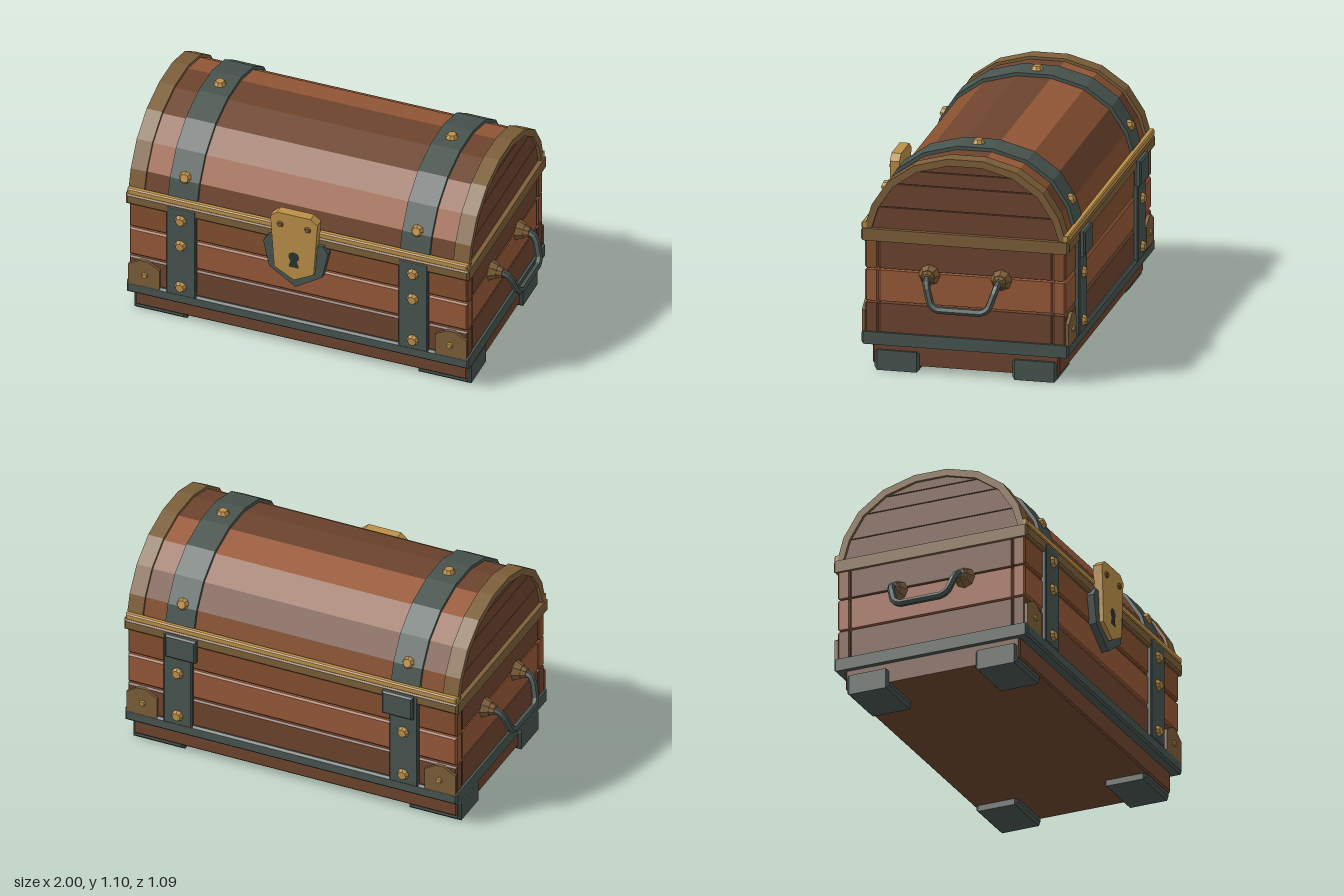
import * as THREE from 'three';

const paint = (name, color) => {
  const m = new THREE.MeshStandardMaterial({ color });
  m.name = name;
  return m;
};

export function createModel() {
  const lightWood = paint('lightWood', 0x985a39);
  const midWood = paint('midWood', 0x85502f);
  const darkWood = paint('darkWood', 0x6d442e);
  const iron = paint('iron', 0x48544f);
  const bronze = paint('bronze', 0x7d5f39);
  const gold = paint('gold', 0xbc9048);
  const black = paint('keyholeDark', 0x2b3330);

  const chest = new THREE.Group();
  chest.name = 'treasureChest';
  chest.position.z = -0.011;

  const add = (name, geometry, material, x = 0, y = 0, z = 0) => {
    const mesh = new THREE.Mesh(geometry, material);
    mesh.name = name;
    mesh.position.set(x, y, z);
    chest.add(mesh);
    return mesh;
  };
  const faceted = (g) => {
    const flat = g.index ? g.toNonIndexed() : g;
    flat.computeVertexNormals();
    return flat;
  };
  const polygon = (pts) => new THREE.Shape(pts.map(([x, y]) => new THREE.Vector2(x, y)));

  // Box with chamfered edges, centred on its origin
  const block = (w, h, d, c = 0.008) => {
    const a = w / 2 - c, b = h / 2 - c;
    const g = new THREE.ExtrudeGeometry(polygon([[-a, -b], [a, -b], [a, b], [-a, b]]), {
      depth: d - 2 * c, bevelSize: c, bevelThickness: c, bevelSegments: 1,
    });
    return g.translate(0, 0, -(d / 2 - c));
  };
  // Outline in x and y given a thickness along z
  const plate = (pts, depth) =>
    new THREE.ExtrudeGeometry(polygon(pts), { depth, bevelEnabled: false });
  // Outline in z and y given a width along x, centred on x = 0
  const across = (pts, width) =>
    plate(pts, width).translate(0, 0, -width / 2).rotateY(-Math.PI / 2);

  // Rivet head pointing along a direction
  const rivet = (x, y, z, dir, r = 0.032, h = 0.02, material = gold) => {
    const g = faceted(new THREE.CylinderGeometry(r * 0.65, r, h, 8));
    const mesh = add('rivet', g, material, x, y, z);
    mesh.quaternion.setFromUnitVectors(new THREE.Vector3(0, 1, 0), new THREE.Vector3(...dir).normalize());
  };

  // Base and iron band
  add('base', block(1.69, 0.13, 0.91), darkWood, 0, 0.095);
  add('bottomBand', block(1.74, 0.062, 1.01, 0.01), iron, 0, 0.16);
  for (const sx of [-1, 1]) for (const sz of [-1, 1])
    add('foot', block(0.27, 0.1, 0.22, 0.014), iron, sx * 0.722, 0.05, sz * 0.335);

  // Body walls of three plank rows with open gaps
  const rows = [
    [0.185, 0.334, darkWood, darkWood],
    [0.344, 0.498, lightWood, lightWood],
    [0.507, 0.65, midWood, darkWood],
  ];
  for (const [y0, y1, wallWood, endWood] of rows) {
    const y = (y0 + y1) / 2, h = y1 - y0;
    for (const s of [-1, 1]) {
      add('wallPlank', block(1.72, h, 0.066), wallWood, 0, y, s * 0.457);
      add('endPlank', block(0.06, h, 0.85), endWood, s * 0.827, y, 0);
    }
  }

  // Lid rim
  add('rim', block(1.745, 0.06, 1.015, 0.01), bronze, 0, 0.674);
  for (const s of [-1, 1]) add('rimStrip', block(1.73, 0.034, 0.03, 0.006), gold, 0, 0.717, s * 0.49);

  // Arch outline from front to back, optionally shrunk inwards
  const half = [[0.5, 0.67], [0.456, 0.82], [0.378, 0.94], [0.25, 1.03], [0.086, 1.075]];
  const arch = (inset) => {
    const k = 1 - inset / 0.525;
    const pts = half.map(([z, y]) => [z * k, y > 0.7 ? 0.56 + (y - 0.56) * k : y]);
    return [...pts, ...pts.map(([z, y]) => [-z, y]).reverse()];
  };
  const archBand = (inset, thickness, width) =>
    across([...arch(inset), ...arch(inset + thickness).reverse()], width);

  // Lid planks, one for each facet
  const outer = arch(0.014), inner = arch(0.055);
  const lidWoods = [darkWood, lightWood, midWood, darkWood, darkWood, lightWood, midWood, darkWood, midWood];
  lidWoods.forEach((wood, i) => {
    add('lidPlank', across([outer[i], outer[i + 1], inner[i + 1], inner[i]], 1.66), wood);
  });

  // Lid end panels of horizontal planks cut to the arch
  const edge = arch(0.03).slice(0, 5);
  const widthAt = (y) => {
    const i = Math.max(1, edge.findIndex((p) => p[1] >= y));
    const [a, b] = [edge[i - 1], edge[i]];
    return a[0] + (b[0] - a[0]) * (y - a[1]) / (b[1] - a[1]);
  };
  const cuts = [0.68, 0.812, 0.93, 1.0, 1.045];
  for (let i = 0; i < 4; i++) {
    const y0 = cuts[i], y1 = cuts[i + 1] - 0.004;
    const between = edge.filter((p) => p[1] > y0 && p[1] < y1);
    const right = [[widthAt(y0), y0], ...between, [widthAt(y1), y1]];
    const outline = [...right, ...right.map(([z, y]) => [-z, y]).reverse()];
    for (const s of [-1, 1]) add('lidEndPlank', across(outline, 0.04), darkWood, s * 0.83);
  }

  for (const s of [-1, 1]) {
    // Arched trim and iron straps
    add('lidTrim', archBand(0, 0.035, 0.08), bronze, s * 0.825);
    add('lidStrap', archBand(-0.003, 0.03, 0.15), iron, s * 0.59);
    rivet(s * 0.59, 1.087, 0, [0, 1, 0]);
    for (const f of [-1, 1]) {
      rivet(s * 0.59, 0.835, f * 0.458, [0, 0.38, f]);
      add('wallStrap', block(0.15, 0.51, 0.03, 0.006), iron, s * 0.59, 0.435, f * 0.495);
      for (const y of [0.235, 0.475, 0.62]) rivet(s * 0.59, y, f * 0.517, [0, 0, f]);

      // Peaked corner plates
      const corner = plate([[-0.08, 0.18], [0.08, 0.18], [0.08, 0.295], [0.02, 0.33], [-0.02, 0.33], [-0.08, 0.295]], 0.016);
      add('cornerPlate', corner, bronze, s * 0.78, 0, f > 0 ? 0.488 : -0.504);
      rivet(s * 0.775, 0.25, f * 0.508, [0, 0, f], 0.018, 0.014);

      // Handle rosettes
      rivet(s * 0.873, 0.49, f * 0.175, [s, 0, 0], 0.054, 0.04, bronze);
      rivet(s * 0.9, 0.49, f * 0.175, [s, 0, 0], 0.036, 0.035, bronze);
    }
    add('hinge', block(0.16, 0.125, 0.035, 0.008), iron, s * 0.567, 0.628, -0.514);

    // Bent carrying handle
    const arm = [[0.89, 0.49, 0.175], [0.935, 0.483, 0.173], [0.955, 0.455, 0.165], [0.978, 0.38, 0.14], [0.983, 0.36, 0.11]];
    const path = new THREE.CurvePath();
    const points = [...arm, ...arm.map(([x, y, z]) => [x, y, -z]).reverse()]
      .map(([x, y, z]) => new THREE.Vector3(s * x, y, z));
    for (let i = 1; i < points.length; i++) path.add(new THREE.LineCurve3(points[i - 1], points[i]));
    add('handle', faceted(new THREE.TubeGeometry(path, 36, 0.018, 6)), iron);
  }

  // Lock plate, hasp and keyhole
  add('lockPlate', plate([[-0.14, 0.67], [-0.165, 0.63], [-0.135, 0.49], [0, 0.4], [0.135, 0.49], [0.165, 0.63], [0.14, 0.67]], 0.04), iron, 0, 0, 0.485);
  add('hasp', plate([[-0.12, 0.8], [-0.1, 0.51], [0, 0.455], [0.1, 0.51], [0.12, 0.8], [0.085, 0.83], [-0.085, 0.83]], 0.047), gold, 0, 0, 0.5);
  for (const s of [-1, 1]) rivet(s * 0.07, 0.765, 0.551, [0, 0, 1], 0.018, 0.012, bronze);
  add('keyhole', new THREE.CircleGeometry(0.028, 10), black, 0, 0.59, 0.549);
  add('keyholeSlot', new THREE.ShapeGeometry(polygon([[-0.026, 0.53], [0.026, 0.53], [0.012, 0.59], [-0.012, 0.59]])), black, 0, 0, 0.55);

  const model = new THREE.Group();
  model.name = 'model';
  model.add(chest);
  return model;
}
